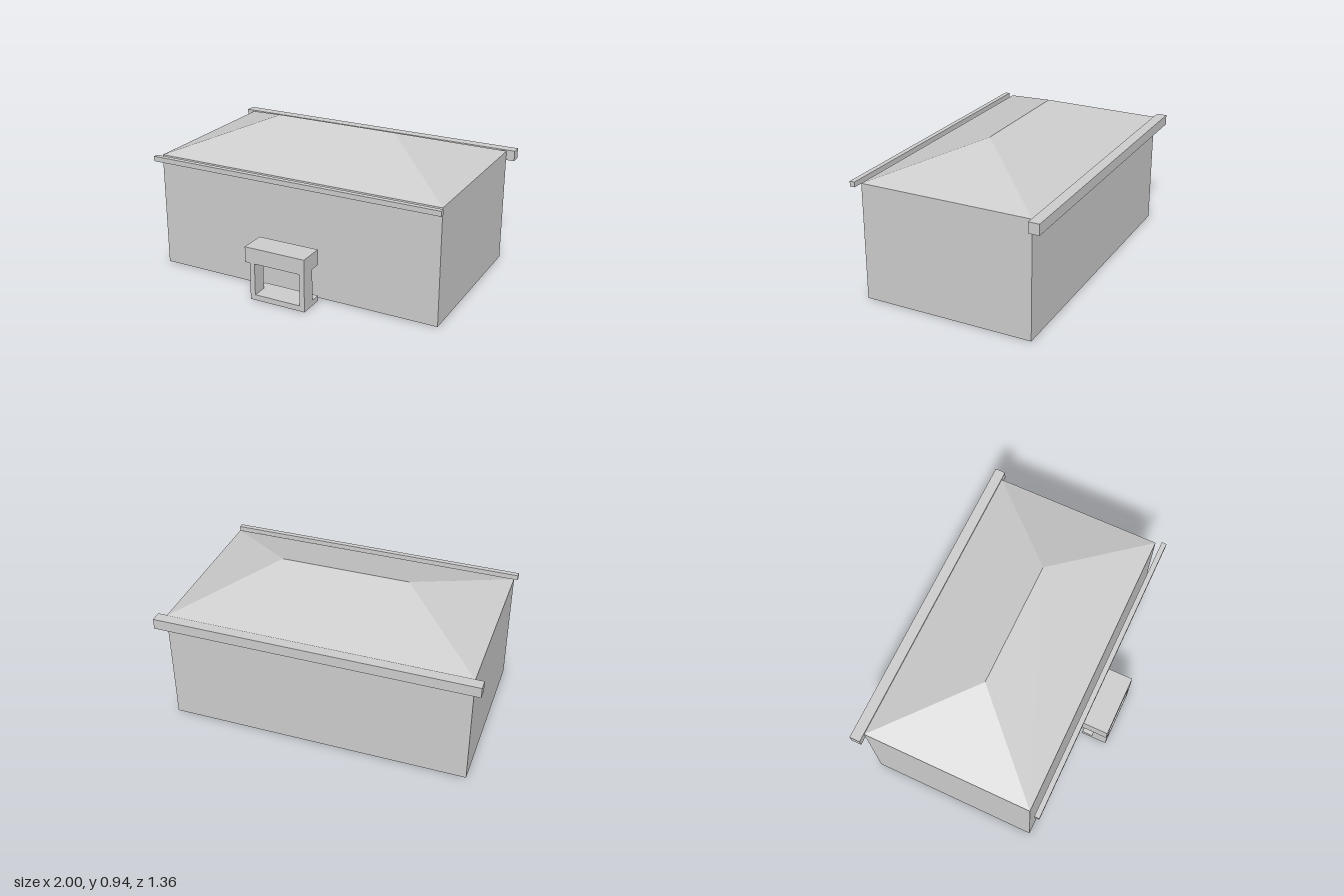
import * as THREE from 'three';

const FACES = ['right', 'left', 'top', 'bottom', 'front', 'back'];

// Box given by its limits, with the named faces left out
function openBox(x0, x1, y0, y1, z0, z1, omit = []) {
  const g = new THREE.BoxGeometry(x1 - x0, y1 - y0, z1 - z0);
  const index = Array.from(g.index.array);
  g.setIndex(index.filter((_, i) => !omit.includes(FACES[Math.floor(i / 6)])));
  g.clearGroups();
  g.translate((x0 + x1) / 2, (y0 + y1) / 2, (z0 + z1) / 2);
  return g;
}

// Hipped roof: eave rectangle rising to a short ridge
function hipRoof(x, zFront, zBack, yEave, ridgeX, ridgeZ, yRidge) {
  const a = [-x, yEave, zFront], b = [x, yEave, zFront];
  const c = [x, yEave, zBack], d = [-x, yEave, zBack];
  const l = [-ridgeX, yRidge, ridgeZ], r = [ridgeX, yRidge, ridgeZ];
  const tris = [a, b, r, a, r, l, b, c, r, c, d, l, c, l, r, d, a, l];
  const g = new THREE.BufferGeometry();
  g.setAttribute('position', new THREE.Float32BufferAttribute(tris.flat(), 3));
  g.computeVertexNormals();
  return g;
}

export function createModel() {
  const model = new THREE.Group();
  model.name = 'house';
  const grey = new THREE.MeshStandardMaterial({ color: 0xcccccc, side: THREE.DoubleSide });
  grey.name = 'plain grey';

  const add = (name, geometry, parent = model) => {
    const mesh = new THREE.Mesh(geometry, grey);
    mesh.name = name;
    parent.add(mesh);
  };

  // Hollow walls and roof
  add('walls', openBox(-0.947, 0.947, 0, 0.74, -0.61, 0.473, ['top', 'bottom']));
  add('roof', hipRoof(0.947, 0.473, -0.61, 0.74, 0.405, -0.068, 0.935));

  // Eave beams, open underneath
  add('backEave', openBox(-1, 1, 0.68, 0.747, -0.678, -0.611, ['bottom']));
  add('frontEave', openBox(-0.965, 0.965, 0.715, 0.747, 0.508, 0.54, ['bottom']));

  // Porch: base slab, two posts and a canopy
  const porch = new THREE.Group();
  porch.name = 'porch';
  model.add(porch);
  add('porchBase', openBox(-0.188, 0.185, 0, 0.035, 0.51, 0.678, ['bottom']), porch);
  for (const [name, x0, x1] of [['rightPost', -0.188, -0.155], ['leftPost', 0.152, 0.185]]) {
    add(name, openBox(x0, x1, 0.035, 0.24, 0.58, 0.678, ['top', 'bottom']), porch);
  }
  add('canopy', openBox(-0.22, 0.185, 0.24, 0.34, 0.51, 0.678), porch);

  return model;
}
